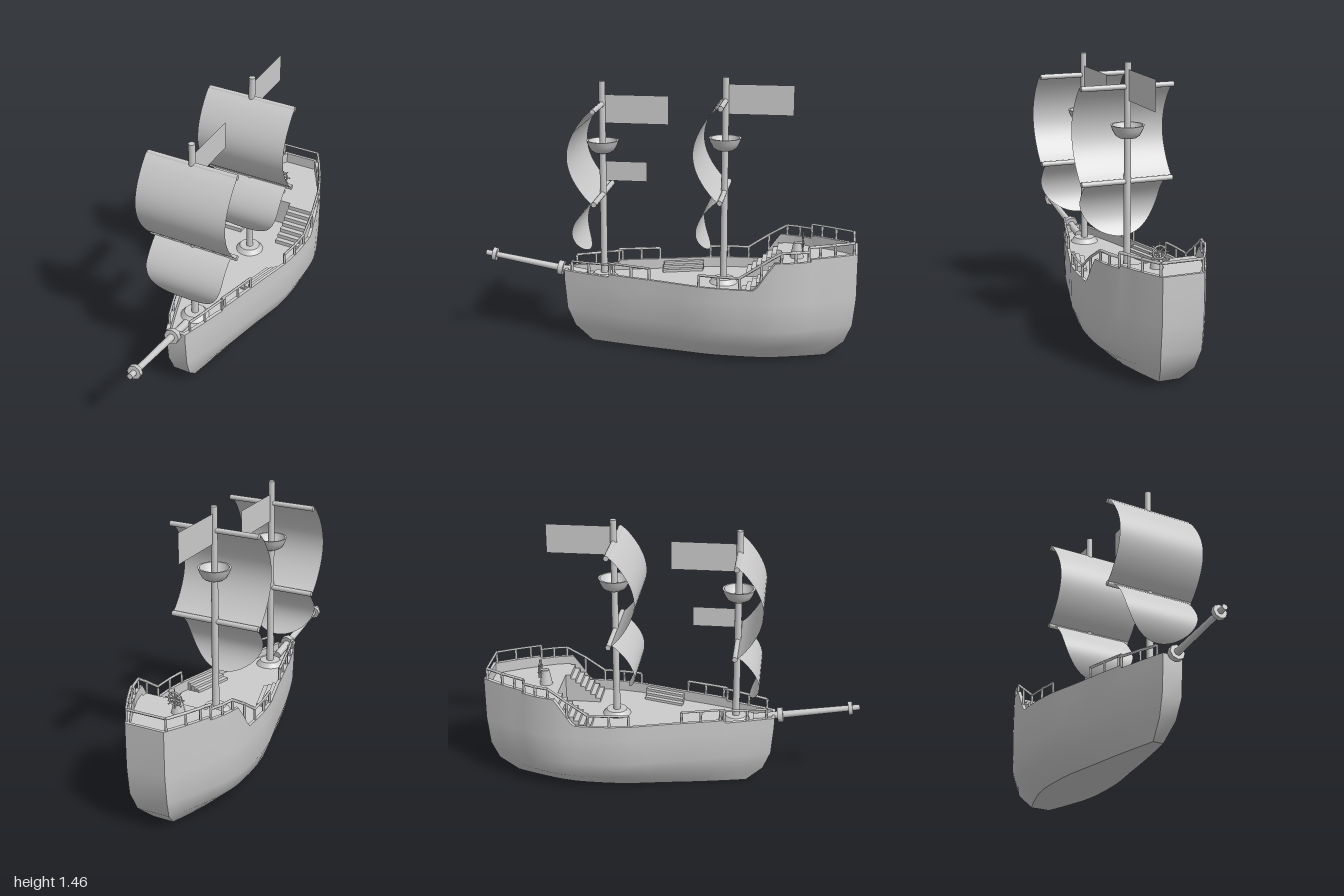
import * as THREE from 'three';
import { toCreasedNormals } from 'three/addons/utils/BufferGeometryUtils.js';

const DECK = 0.36, QUARTER = 0.515, WALL = 0.016;

// Hull stations from stern to bow: z, half width, height of the bulwark top
const STATIONS = [
  [-1, .105, .575], [-.92, .15, .575], [-.85, .186, .575], [-.77, .222, .575], [-.765, .225, .56],
  [-.68, .26, .56], [-.59, .282, .56], [-.55, .287, .505], [-.5, .29, .43], [-.48, .29, .415],
  [-.4, .29, .415], [-.3, .285, .415], [-.2, .27, .415], [-.1, .243, .415], [0, .215, .415],
  [.1, .19, .415], [.2, .165, .415], [.29, .14, .415], [.3, .137, .4], [.42, .1, .4], [.555, .055, .4],
];

function station(z, k) {
  for (let i = 1; i < STATIONS.length; i++) {
    const a = STATIONS[i - 1], b = STATIONS[i];
    if (z <= b[0]) return THREE.MathUtils.lerp(a[k], b[k], (z - a[0]) / (b[0] - a[0]));
  }
  return STATIONS[STATIONS.length - 1][k];
}
const halfWidth = (z) => station(z, 1);
const topOf = (z) => station(z, 2);

export function createModel() {
  const ship = new THREE.Group();
  ship.name = 'sailingShip';
  const mat = new THREE.MeshStandardMaterial({ color: 0xcccccc });
  const thin = new THREE.MeshStandardMaterial({ color: 0xcccccc, side: THREE.DoubleSide });

  function add(name, geo, x = 0, y = 0, z = 0, m = mat, parent = ship) {
    const mesh = new THREE.Mesh(geo, m);
    mesh.name = name;
    mesh.position.set(x, y, z);
    parent.add(mesh);
    return mesh;
  }
  // Round or square bar between two points
  function bar(name, a, b, r0, r1 = r0, sides = 12, parent = ship) {
    const p = new THREE.Vector3(...a), q = new THREE.Vector3(...b), d = q.clone().sub(p);
    const mesh = add(name, new THREE.CylinderGeometry(r1, r0, d.length(), sides), 0, 0, 0, mat, parent);
    mesh.position.copy(p).add(q).multiplyScalar(0.5);
    mesh.quaternion.setFromUnitVectors(new THREE.Vector3(0, 1, 0), d.normalize());
    return mesh;
  }

  add('hull', hullGeometry());
  add('mainDeck', deckGeometry(-.98, .54, .02), 0, DECK - .02, 0);
  add('quarterDeck', deckGeometry(-.985, -.6, QUARTER - DECK), 0, DECK, 0);

  // Stairs to the quarter deck and boarding steps at the openings in the rail
  for (const s of [1, -1]) {
    const n = 7, run = .19 / n, rise = (QUARTER - DECK) / n;
    for (let i = 0; i < n; i++) {
      const h = rise * (n - i);
      add('stairStep', new THREE.BoxGeometry(.14, h, run), s * .18, DECK + h / 2, -.6 + run * (i + .5));
    }
    for (let i = 0; i < 3; i++) {
      const h = .042 - i * .014;
      const step = add('boardingStep', new THREE.BoxGeometry(.026, h, .22),
        s * (.205 - i * .026), DECK + h / 2, -.06);
      step.rotation.y = -s * .28;
    }
  }

  // Railings: [z, rail height] runs along both sides
  const rails = new THREE.Group();
  rails.name = 'railings';
  ship.add(rails);
  const runs = [
    [[.51, .455], [.41, .46], [.27, .468]],
    [[.29, .475], [.17, .475], [.07, .475]],
    [[-.2, .475], [-.3, .475], [-.41, .475], [-.52, .55], [-.62, .612], [-.69, .612], [-.755, .612]],
    [[-.755, .636], [-.81, .636], [-.885, .636], [-.98, .636]],
  ];
  const R = .0075;
  for (const s of [1, -1]) for (const run of runs) {
    const pts = run.map(([z, y]) => [s * (halfWidth(z) - .01), y, z]);
    pts.forEach((p, i) => {
      bar('railPost', [p[0], topOf(p[2]) - .01, p[2]], p, R, R, 4, rails);
      if (i) bar('handRail', pts[i - 1], p, R, R, 4, rails);
    });
  }
  bar('sternRail', [-.105, .636, -.98], [.105, .636, -.98], R, R, 4, rails);

  // Rigging of one mast; lift raises everything above the deck
  function mast(z, top, lift, flags) {
    const g = new THREE.Group();
    g.name = 'mast';
    g.position.z = z;
    ship.add(g);
    bar('mastPole', [0, DECK, 0], [0, top, 0], .019, .017, 16, g);
    add('mastFoot', new THREE.CylinderGeometry(.055, .075, .025, 24), 0, DECK + .0125, 0, mat, g);
    for (const y of [1.3, .82]) bar('yard', [-.245, y + lift, 0], [.245, y + lift, 0], .014, .014, 12, g);
    const bowl = [[0, 0], [.045, 0], [.062, .012], [.076, .038], [.085, .064], [.075, .064], [.066, .04], [.05, .02], [0, .014]];
    add('crowsNest', toCreasedNormals(new THREE.LatheGeometry(
      bowl.map((p) => new THREE.Vector2(...p)), 24), .7), 0, 1.045 + lift, 0, thin, g);
    add('upperSail', sailGeometry(.48, .248, .125, 1, false), 0, 1.305 + lift, 0, thin, g);
    add('lowerSail', sailGeometry(.305, .216, .115, .85, true), 0, .82 + lift, 0, thin, g);
    for (const [y, h, len] of flags) {
      const flag = add('flag', new THREE.PlaneGeometry(len, h), 0, y, -.015 - len / 2, thin, g);
      flag.rotation.y = Math.PI / 2;
    }
  }
  mast(.345, 1.42, 0, [[1.275, .15, .335], [.945, .105, .22]]);
  mast(-.3, 1.455, .033, [[1.342, .155, .335]]);

  // Bowsprit with two octagonal collars
  const slope = (z) => [0, .39 + (z - .545) * .165, z];
  bar('bowsprit', slope(.44), slope(1), .021, .015, 12);
  bar('innerCollar', slope(.57), slope(.598), .042, .042, 8);
  bar('outerCollar', slope(.94), slope(.962), .038, .038, 8);

  // Steering wheel on a tapered stand
  add('wheelStand', new THREE.CylinderGeometry(.02, .036, .08, 8), 0, QUARTER + .04, -.685);
  bar('wheelAxle', [0, .595, -.67], [0, .595, -.725], .007);
  add('wheelRim', new THREE.TorusGeometry(.033, .005, 6, 20), 0, .6, -.715);
  for (let i = 0; i < 4; i++) {
    const a = i * Math.PI / 4, x = Math.cos(a) * .052, y = Math.sin(a) * .052;
    bar('wheelSpoke', [-x, .6 - y, -.715], [x, .6 + y, -.715], .0035, .0035, 6);
  }
  return ship;
}

// Hull shell lofted through closed rings: up the outside, over the rim, down the inside
function hullGeometry() {
  const n = STATIONS.length, pos = [], idx = [];
  function ring(width, stern, bow, inset, height) {
    const side = STATIONS.map(([z, w, top]) => {
      const s = (z + 1) / 1.555;
      return [w * width - inset, height ?? top, THREE.MathUtils.lerp(stern + inset, bow - inset, s)];
    });
    side.forEach((p) => pos.push(...p));
    side.reverse().forEach(([x, y, z]) => pos.push(-x, y, z));
  }
  ring(.52, -.85, .41, 0, 0);
  ring(.845, -.945, .5, 0, .09);
  ring(.99, -.985, .54, 0, .19);
  ring(1, -1, .553, 0, .34);
  ring(1, -1, .555, 0);
  ring(1, -1, .555, WALL);
  ring(1, -1, .555, WALL, DECK - .02);
  const m = 2 * n;
  for (let j = 0; j < 6; j++) for (let i = 0; i < m; i++) {
    const k = (i + 1) % m, a = j * m + i, b = j * m + k, d = a + m, c = b + m;
    idx.push(a, d, b, b, d, c);
  }
  // Flat keel
  for (let i = 0; i < n - 1; i++) idx.push(i, i + 1, m - 2 - i, i, m - 2 - i, m - 1 - i);
  const geo = new THREE.BufferGeometry();
  geo.setAttribute('position', new THREE.Float32BufferAttribute(pos, 3));
  geo.setIndex(idx);
  return toCreasedNormals(geo, .62);
}

// Deck slab that follows the inside of the hull between two z positions
function deckGeometry(z0, z1, thickness) {
  const zs = [z0, ...STATIONS.map((s) => s[0]).filter((z) => z > z0 && z < z1), z1];
  const side = zs.map((z) => new THREE.Vector2(halfWidth(z) - WALL + .003, -z));
  const other = side.map((p) => new THREE.Vector2(-p.x, p.y)).reverse();
  const geo = new THREE.ExtrudeGeometry(new THREE.Shape([...side, ...other]), { depth: thickness, bevelEnabled: false });
  return geo.rotateX(-Math.PI / 2);
}

// Billowing sail hanging from y = 0; a rounded one narrows to an elliptical foot
function sailGeometry(height, half, bulge, arc, rounded) {
  const geo = new THREE.PlaneGeometry(2, 1, 16, 24), p = geo.attributes.position;
  for (let i = 0; i < p.count; i++) {
    const v = .5 - p.getY(i), t = rounded ? Math.sin(v * Math.PI / 2) : v;
    const u = rounded ? Math.max(0, (t - .33) / .67) : 0;
    const w = half * Math.sqrt(Math.max(0, 1 - u * u));
    const z = bulge * Math.pow(Math.max(0, Math.sin(Math.PI * t * arc)), .85);
    p.setXYZ(i, p.getX(i) * w, -height * t, z + .012);
  }
  geo.computeVertexNormals();
  return geo;
}
